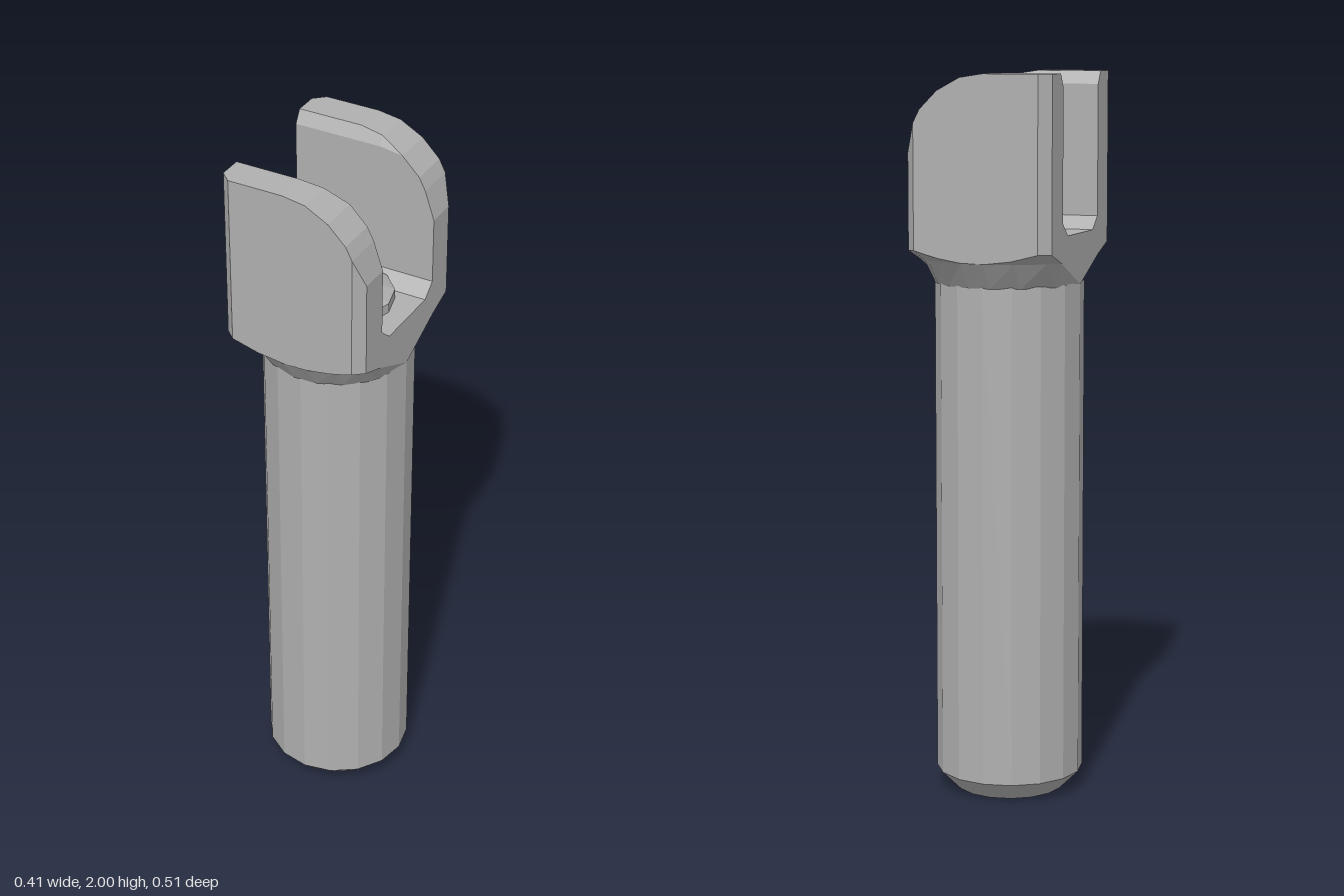
import * as THREE from 'three';

const HALF_X = 0.205, SHAFT_R = 0.205, FLARE_R = 0.253;

// Height of the top edge of the fork arms: flat, then rounded down on +x
const ARM_TOP = [
  [-0.205, 2], [-0.175, 2], [-0.1, 2], [-0.02, 2], [0.045, 1.99],
  [0.11, 1.955], [0.16, 1.905], [0.178, 1.87], [0.205, 1.79],
];

// U-shaped cross-section of the fork at one x, as [z, y] points
function forkSection(x, top) {
  const outer = Math.abs(x) > 0.2 ? 0.225 : 0.253;
  const zA = Math.sqrt(Math.max(SHAFT_R ** 2 - x * x, 0));
  const zB = Math.min(outer, Math.sqrt(FLARE_R ** 2 - x * x));
  const rim = 1.5 + 0.55 * Math.max(0, Math.hypot(x, outer) - FLARE_R);
  const bevelLow = Math.min(1.965, top);
  const inner = 0.14 + 0.02 * Math.min(1, (top - bevelLow) / 0.035);
  const half = [
    [zA, 1.43], [zB, 1.5], [outer, rim], [outer, top],
    [inner, top], [0.14, bevelLow], [0.14, 1.605], [0.1, 1.57],
  ];
  const mirrored = half.map(([z, y]) => [-z, y]).reverse();
  return [[0, 1.43], ...half, ...mirrored];
}

// Loft the sections along x and close both ends
function forkGeometry() {
  const rings = ARM_TOP.map(([x, top]) =>
    forkSection(x, top).map(([z, y]) => new THREE.Vector3(x, y, z)));
  const pos = [];
  const tri = (a, b, c) => {
    const n = b.clone().sub(a).cross(c.clone().sub(a));
    if (n.length() > 1e-9) for (const p of [a, b, c]) pos.push(p.x, p.y, p.z);
  };
  for (let i = 0; i < rings.length - 1; i++) {
    const p = rings[i], q = rings[i + 1];
    for (let j = 0; j < p.length; j++) {
      const k = (j + 1) % p.length;
      tri(p[j], q[j], q[k]);
      tri(p[j], q[k], p[k]);
    }
  }
  for (const [ring, side] of [[rings[0], -1], [rings[rings.length - 1], 1]]) {
    const outline = ring.map((p) => new THREE.Vector2(p.z, p.y));
    for (const [i, j, k] of THREE.ShapeUtils.triangulateShape(outline, [])) {
      const [a, b, c] = [ring[i], ring[j], ring[k]];
      const nx = b.clone().sub(a).cross(c.clone().sub(a)).x;
      if (nx * side > 0) tri(a, b, c);
      else tri(a, c, b);
    }
  }
  const geometry = new THREE.BufferGeometry();
  geometry.setAttribute('position', new THREE.Float32BufferAttribute(pos, 3));
  geometry.computeVertexNormals();
  return geometry;
}

function turned(profile, sides) {
  return new THREE.LatheGeometry(profile.map(([r, y]) => new THREE.Vector2(r, y)), sides);
}

export function createModel() {
  const steel = new THREE.MeshStandardMaterial({ color: 0xb0b0b0, flatShading: true });
  steel.name = 'steel grey';
  const model = new THREE.Group();
  model.name = 'forkedPin';
  const add = (name, geometry) => {
    const mesh = new THREE.Mesh(geometry, steel);
    mesh.name = name;
    model.add(mesh);
    return mesh;
  };

  // Round shaft with a bevelled foot
  add('shaft', turned([[0, 0], [0.15, 0], [SHAFT_R, 0.055], [SHAFT_R, 1.435]], 16));

  // Two-armed fork with bevelled corners
  add('fork', forkGeometry());

  // Pointed stud on the floor of the slot
  const stud = add('stud', turned([[0.14, 1.565], [0.14, 1.597], [0, 1.66]], 12));
  stud.position.x = 0.01;

  return model;
}
